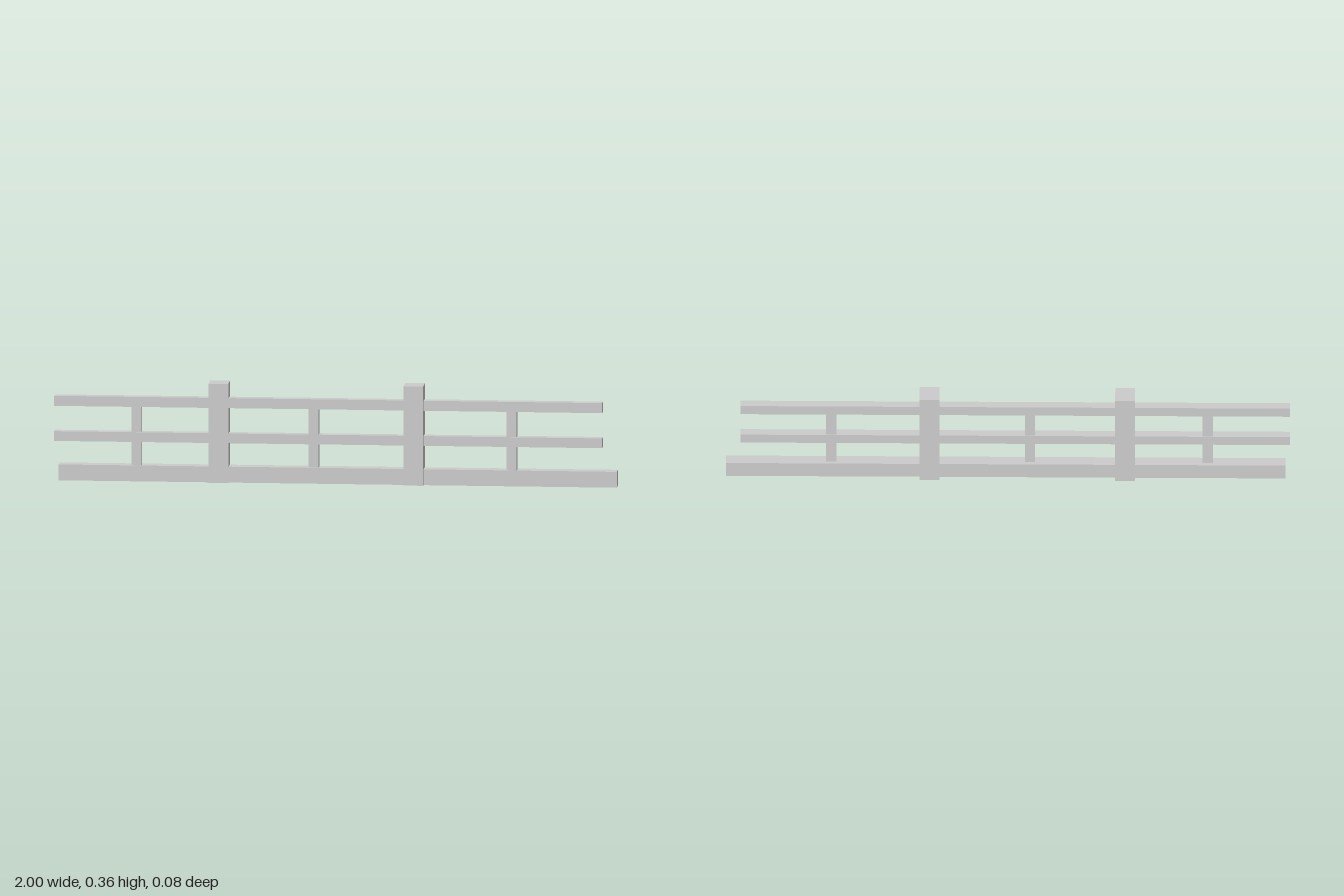
import * as THREE from 'three';

const material = new THREE.MeshStandardMaterial({ color: 0xcccccc, flatShading: true });

// Box given by its extents along each axis
function beam(name, [x0, x1], [y0, y1], [z0, z1]) {
  const mesh = new THREE.Mesh(new THREE.BoxGeometry(x1 - x0, y1 - y0, z1 - z0), material);
  mesh.position.set((x0 + x1) / 2, (y0 + y1) / 2, (z0 + z1) / 2);
  mesh.name = name;
  return mesh;
}

export function createModel() {
  const fence = new THREE.Group();
  fence.name = 'fence';

  // Heavy beam along the ground
  fence.add(beam('baseBeam', [-0.984, 1], [0, 0.057], [-0.019, 0.025]));

  // Two thin horizontal rails
  fence.add(beam('middleRail', [-1, 0.948], [0.141, 0.176], [-0.009, 0.023]));
  fence.add(beam('topRail', [-1, 0.948], [0.267, 0.303], [-0.009, 0.023]));

  // Thick main posts
  for (const x of [-0.415, 0.278]) {
    fence.add(beam('post', [x - 0.035, x + 0.035], [0, 0.356], [-0.039, 0.039]));
  }

  // Slim uprights between the base beam and the top rail
  for (const x of [-0.708, -0.078, 0.626]) {
    fence.add(beam('upright', [x - 0.018, x + 0.018], [0.05, 0.27], [-0.006, 0.021]));
  }

  return fence;
}
